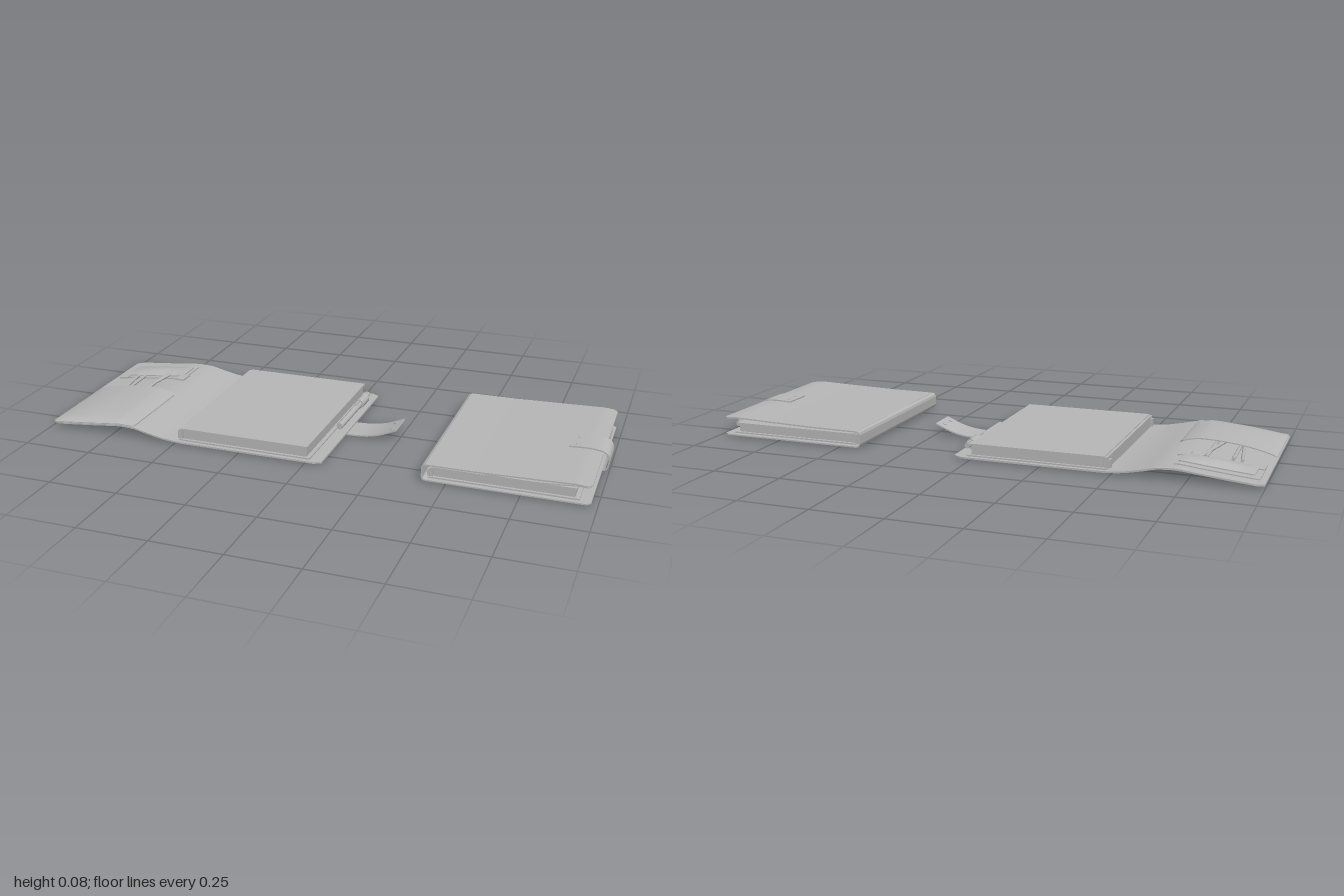
import * as THREE from 'three';
import { toCreasedNormals } from 'three/addons/utils/BufferGeometryUtils.js';

const grey = new THREE.MeshStandardMaterial({ color: 0xb8b8b8, side: THREE.DoubleSide });
grey.name = 'grey leather';

function add(group, name, geometry) {
  const mesh = new THREE.Mesh(geometry, grey);
  mesh.name = name;
  group.add(mesh);
  return mesh;
}

function box(group, name, x0, x1, y0, y1, z0, z1) {
  const mesh = add(group, name, new THREE.BoxGeometry(x1 - x0, y1 - y0, z1 - z0));
  mesh.position.set((x0 + x1) / 2, (y0 + y1) / 2, (z0 + z1) / 2);
  return mesh;
}

function rod(group, name, a, b, radius) {
  const from = new THREE.Vector3(...a), to = new THREE.Vector3(...b);
  const mesh = add(group, name, new THREE.CylinderGeometry(radius, radius, from.distanceTo(to), 12));
  mesh.position.copy(from).add(to).multiplyScalar(0.5);
  mesh.quaternion.setFromUnitVectors(new THREE.Vector3(0, 1, 0), to.sub(from).normalize());
  return mesh;
}

// Smooth band: a side profile with thickness, extruded along z
function band(group, name, points, thickness, z0, z1) {
  const curve = new THREE.CatmullRomCurve3(points.map(([x, y]) => new THREE.Vector3(x, y, 0)), false, 'centripetal');
  const outer = [], inner = [];
  for (let i = 0; i <= 36; i++) {
    const p = curve.getPoint(i / 36), t = curve.getTangent(i / 36);
    const h = thickness / 2;
    outer.push(new THREE.Vector2(p.x - t.y * h, p.y + t.x * h));
    inner.unshift(new THREE.Vector2(p.x + t.y * h, p.y - t.x * h));
  }
  const geometry = new THREE.ExtrudeGeometry(new THREE.Shape([...outer, ...inner]), { depth: z1 - z0, bevelEnabled: false });
  geometry.translate(0, 0, z0);
  return add(group, name, toCreasedNormals(geometry, 0.6));
}

// Curved sheet whose height follows a rule, with clipped corners at the chosen ends
function sheet(group, name, [x0, x1], [z0, z1], thickness, height, clipLeft, clipRight) {
  const nx = 40, nz = 16;
  const geometry = new THREE.BoxGeometry(x1 - x0, thickness, z1 - z0, nx, 1, nz);
  geometry.translate((x0 + x1) / 2, 0, (z0 + z1) / 2);
  const p = geometry.attributes.position, mid = (z0 + z1) / 2;
  for (let i = 0; i < p.count; i++) {
    const x = p.getX(i), z = p.getZ(i);
    const atEnd = (clipLeft && x - x0 < 1e-4) || (clipRight && x1 - x < 1e-4);
    p.setY(i, p.getY(i) + height(x, z));
    if (atEnd) p.setZ(i, mid + (z - mid) * 0.955);
  }
  return add(group, name, toCreasedNormals(geometry, 0.6));
}

// Interpolates a height along x through a few points
function heightAlong(points) {
  return (x) => {
    let i = 0;
    while (i < points.length - 2 && x > points[i + 1][0]) i++;
    const [xa, ya] = points[i], [xb, yb] = points[i + 1];
    return THREE.MathUtils.lerp(ya, yb, THREE.MathUtils.clamp((x - xa) / (xb - xa), 0, 1));
  };
}

// Paper block, its boards, the pen and its loop, starting at x
function insides(group, x, top) {
  box(group, 'paperBlock', x + 0.015, x + 0.485, 0.016, top - 0.006, -0.315, 0.31);
  box(group, 'bottomBoard', x, x + 0.5, 0.011, 0.016, -0.325, 0.32);
  box(group, 'topBoard', x + 0.01, x + 0.49, top - 0.006, top, -0.322, 0.316);
  box(group, 'blockSpine', x, x + 0.012, 0.011, top - 0.003, -0.32, 0.315);
  for (const z of [-0.31, 0.29]) box(group, 'spineTab', x - 0.008, x + 0.004, 0.014, top - 0.012, z, z + 0.02);
  const px = x + 0.517;
  rod(group, 'penBarrel', [px, 0.031, -0.2], [px, 0.031, 0.055], 0.012);
  rod(group, 'penCap', [px, 0.034, -0.275], [px, 0.034, -0.2], 0.01);
  rod(group, 'penLoop', [px, 0.031, -0.24], [px, 0.031, -0.17], 0.018);
  box(group, 'penClip', px - 0.004, px + 0.004, 0.041, 0.046, -0.27, -0.13);
}

// Small press studs on a strap end
function studs(group, x, y, tilt) {
  for (const z of [-0.03, 0.025]) {
    const stud = add(group, 'stud', new THREE.CylinderGeometry(0.007, 0.007, 0.006, 16));
    stud.position.set(x, y, z);
    stud.rotation.z = tilt;
  }
}

function openNotebook() {
  const group = new THREE.Group();
  group.name = 'openNotebook';
  const rise = heightAlong([[-1, 0.013], [-0.9, 0.022], [-0.8, 0.032], [-0.72, 0.041], [-0.66, 0.039],
    [-0.6, 0.025], [-0.54, 0.013], [-0.48, 0.008], [0.06, 0.008]]);
  sheet(group, 'cover', [-1, 0.06], [-0.34, 0.335], 0.006, rise, true, true);

  // Bulging pocket on the flap, open toward the middle
  const bulge = (x, z) => {
    const u = (x + 0.995) / 0.335, v = THREE.MathUtils.clamp(z / 0.33, 0, 1);
    return Math.pow(Math.max(0, Math.sin(Math.PI * u)), 0.6) * Math.sqrt(Math.max(0, 1 - v ** 4));
  };
  sheet(group, 'pocket', [-0.995, -0.66], [0, 0.332], 0.004, (x, z) => rise(x) + 0.004 + 0.023 * bulge(x, z), true, true);

  // Cards and holder on the other half of the flap
  sheet(group, 'cardHolder', [-0.98, -0.7], [-0.295, -0.15], 0.004, (x) => rise(x) + 0.006, true, false);
  sheet(group, 'card', [-0.96, -0.71], [-0.27, -0.165], 0.004,
    (x, z) => rise(x) + 0.011 + 0.012 * Math.sin(Math.PI * (x + 0.96) / 0.25) * Math.sin(Math.PI * (z + 0.27) / -0.105 + Math.PI), true, true);
  for (const x of [-0.98, -0.73]) {
    sheet(group, 'holderTab', [x, x + 0.04], [-0.19, -0.135], 0.006, (s) => rise(s) + 0.009, false, false);
  }

  // Two slim pairs of tools running into the pocket
  for (const [xa, za, xb] of [[-0.9, -0.15, -0.875], [-0.87, -0.15, -0.865], [-0.765, -0.2, -0.81], [-0.785, -0.18, -0.785]]) {
    rod(group, 'tool', [xa, rise(xa) + 0.015, za], [xb, rise(xb) + 0.013, 0.06], 0.006);
  }

  insides(group, -0.485, 0.056);

  // Loose closing strap
  band(group, 'strap', [[-0.01, 0.003], [0.06, 0.003], [0.13, 0.007], [0.18, 0.018], [0.245, 0.044]], 0.005, -0.06, 0.055);
  studs(group, 0.222, 0.037, 0.4);
  return group;
}

function closedNotebook() {
  const group = new THREE.Group();
  group.name = 'closedNotebook';
  const lid = heightAlong([[0.43, 0.063], [0.6, 0.064], [0.8, 0.069], [0.93, 0.073], [0.98, 0.068]]);
  sheet(group, 'bottomCover', [0.43, 0.978], [-0.34, 0.335], 0.005, () => 0.007, false, true);
  sheet(group, 'topCover', [0.43, 0.978], [-0.34, 0.335], 0.005, lid, false, true);
  band(group, 'spine', [[0.432, 0.007], [0.421, 0.012], [0.419, 0.035], [0.421, 0.058], [0.432, 0.063]], 0.005, -0.34, 0.335);

  // Pocket and cards hanging under the lid
  sheet(group, 'pocket', [0.62, 0.975], [0, 0.33], 0.004,
    (x) => lid(x) - 0.004 - 0.008 * Math.sin(Math.PI * (x - 0.62) / 0.355), true, true);
  sheet(group, 'cardHolder', [0.67, 0.955], [-0.3, -0.15], 0.005, (x) => lid(x) - 0.008, false, false);

  insides(group, 0.44, 0.05);

  // Strap wrapped around the open edge
  band(group, 'strap', [[0.88, 0.003], [0.96, 0.003], [0.988, 0.008], [0.997, 0.03], [0.994, 0.058],
    [0.975, 0.073], [0.93, 0.079], [0.86, 0.077]], 0.005, -0.06, 0.055);
  studs(group, 0.885, 0.079, 0);
  return group;
}

export function createModel() {
  const model = new THREE.Group();
  model.name = 'notebookPair';
  model.add(openNotebook(), closedNotebook());
  return model;
}
